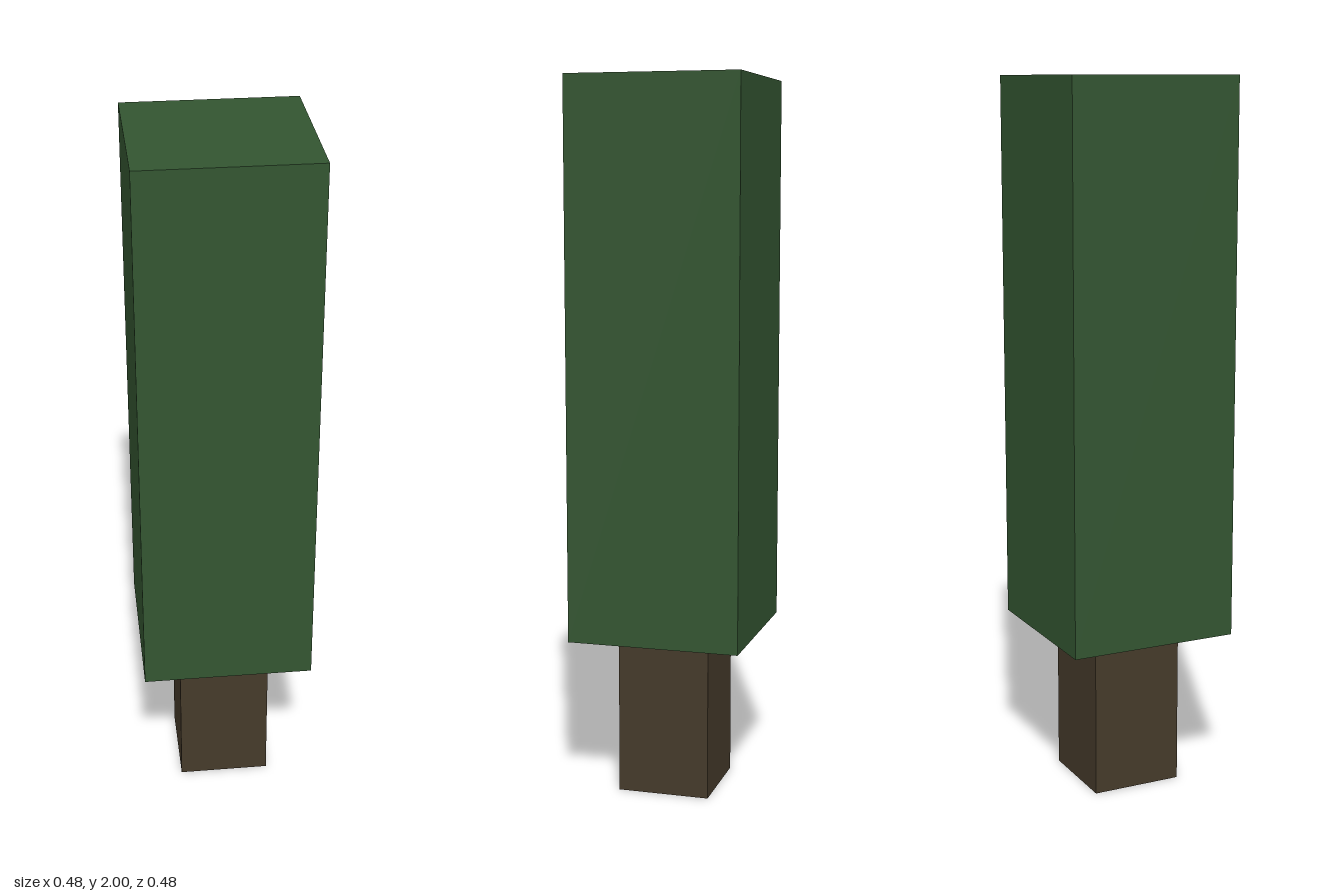
import * as THREE from 'three';

// Box standing on height y0
function block(name, width, height, depth, y0, color) {
  const mesh = new THREE.Mesh(
    new THREE.BoxGeometry(width, height, depth),
    new THREE.MeshStandardMaterial({ color })
  );
  mesh.name = name;
  mesh.position.y = y0 + height / 2;
  return mesh;
}

export function createModel() {
  const tree = new THREE.Group();
  tree.name = 'tree';
  const trunkHeight = 0.455;

  // Square trunk with a tall block of foliage on top
  tree.add(block('trunk', 0.26, trunkHeight, 0.26, 0, 0x453a2a));
  tree.add(block('foliage', 0.48, 2 - trunkHeight, 0.484, trunkHeight, 0x335531));
  return tree;
}
